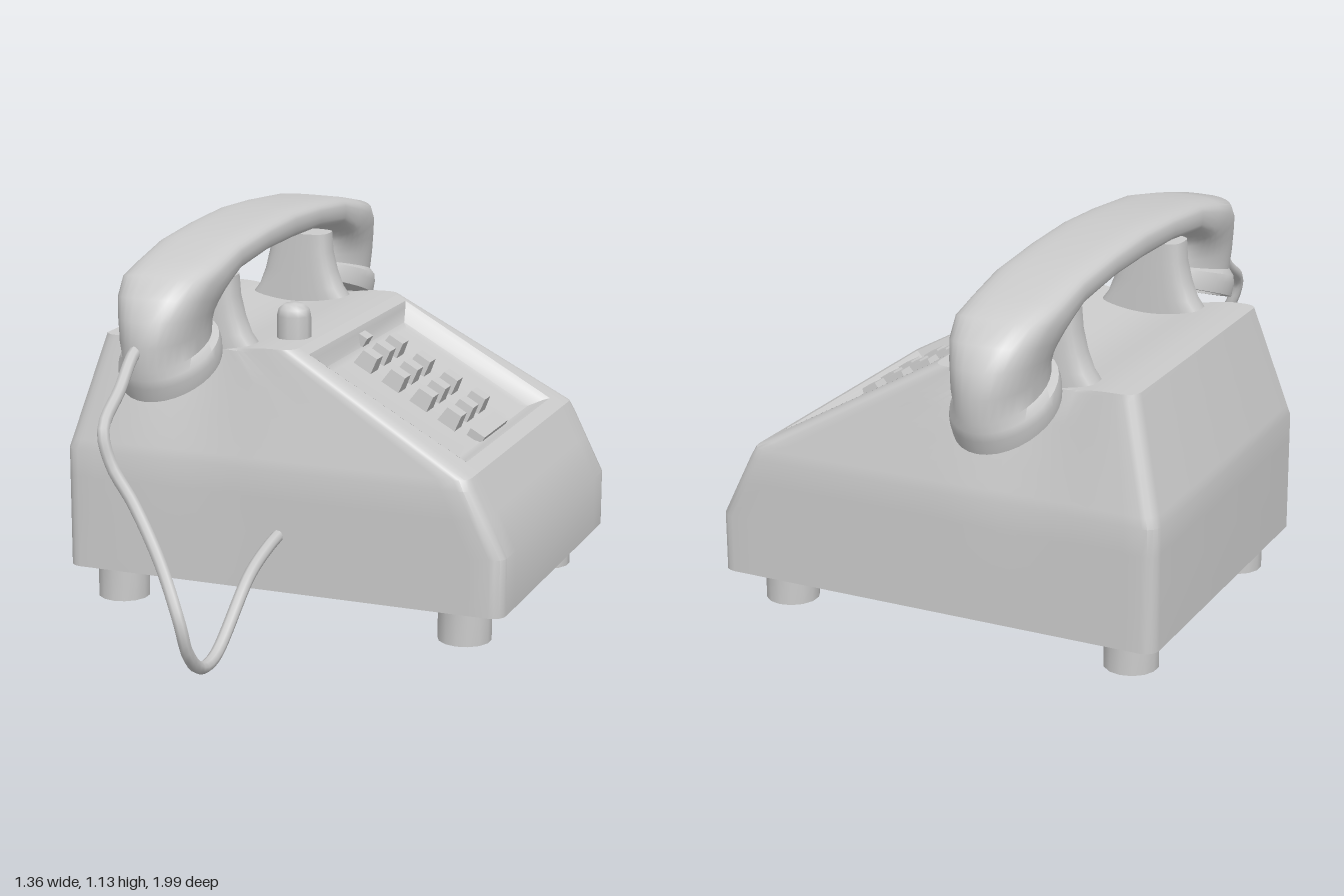
import * as THREE from 'three';
import { toCreasedNormals } from 'three/addons/utils/BufferGeometryUtils.js';

const MID_Z = -0.18;
const material = new THREE.MeshStandardMaterial({ color: 0xcccccc, side: THREE.DoubleSide });
const flat = new THREE.MeshStandardMaterial({ color: 0xcccccc, flatShading: true });

function part(name, geometry, parent, x = 0, y = 0, z = 0, mat = material) {
  const mesh = new THREE.Mesh(geometry, mat);
  mesh.name = name;
  mesh.position.set(x, y, z);
  parent.add(mesh);
  return mesh;
}

// Skin a list of closed rings (counter-clockwise seen against the sweep)
function loft(rings, crease = 0.5, skip = () => false) {
  const n = rings[0].length, index = [];
  for (let i = 0; i < rings.length - 1; i++) {
    for (let j = 0; j < n; j++) {
      if (skip(i, j)) continue;
      const a = i * n + j, b = i * n + (j + 1) % n;
      index.push(a, b, b + n, a, b + n, a + n);
    }
  }
  const g = new THREE.BufferGeometry();
  g.setAttribute('position', new THREE.Float32BufferAttribute(rings.flat(2), 3));
  g.setIndex(index);
  return toCreasedNormals(g, crease);
}

// Superellipse coordinates: n = 2 is an oval, larger is boxier
function oval(count, n) {
  const p = v => Math.sign(v) * Math.abs(v) ** (2 / n);
  return Array.from({ length: count }, (_, k) => {
    const t = k / count * Math.PI * 2;
    return [p(Math.sin(t)), p(Math.cos(t))];
  });
}

// Shallow hollow across the housing where the handset rests
function hollow(x) {
  const t = (x + 0.285) / 0.24;
  return Math.abs(t) < 1 ? 0.5 + 0.5 * Math.cos(Math.PI * t) : 0;
}

const EDGE = 24, ARC = 4, RECESS = 0.4;

// Rounded rectangle around the housing at one height
function bodyRing(y, zScale = 1) {
  const up = Math.max(0, y - 0.47) / 0.34;
  const xl = -0.68 + 0.095 * up, h = 0.52 - 0.075 * up, r = 0.04;
  const xr = y <= 0.28 ? 0.68 : y <= 0.5 ? 0.68 - (y - 0.28) * 0.5 : 0.57 - (y - 0.5) / 0.5636;
  const pts = [];
  const edge = (sign) => {
    for (let i = 0; i < EDGE; i++) {
      const t = i / (EDGE - 1), a = xl + r, b = xr - r;
      pts.push([sign > 0 ? a + (b - a) * t : b + (a - b) * t, sign * h]);
    }
  };
  const corner = (cx, cz, start) => {
    for (let i = 1; i <= ARC; i++) {
      const t = start + i / ARC * Math.PI / 2;
      pts.push([cx + r * Math.sin(t), cz + r * Math.cos(t)]);
    }
  };
  edge(1);
  corner(xr - r, h - r, 0);
  pts.push([xr, RECESS], [xr, -RECESS]);
  pts.push([xr, r - h]);
  corner(xr - r, r - h, Math.PI / 2);
  pts.pop();
  edge(-1);
  corner(xl + r, r - h, Math.PI);
  corner(xl + r, h - r, Math.PI * 1.5);
  pts.pop();
  const fade = Math.max(0, (y - 0.2) / 0.61) ** 2;
  return pts.map(([x, z]) => [
    x,
    y - (y > 0.8 ? 0.025 * hollow(x) : 0),
    MID_Z + zScale * (z - Math.sign(z) * 0.03 * fade * hollow(x)),
  ]);
}

function makeBody(group) {
  const levels = [0.11, 0.28, 0.39, 0.47, 0.5, 0.523, 0.61, 0.7, 0.793, 0.81];
  const rings = levels.map(y => bodyRing(y));
  rings.push(bodyRing(0.81, 0.9), bodyRing(0.81, 0.5), bodyRing(0.81, 0));
  const gap = EDGE + ARC;
  part('housing', loft(rings, 0.5, (i, j) => j === gap && i >= 5 && i < 8), group);
}

// Sunken sloping panel with its keys
function makeKeypad(group) {
  const pad = new THREE.Group();
  pad.name = 'keypad';
  pad.position.set(0.29, 0.658, MID_Z);
  pad.rotation.z = -Math.atan(0.5636);
  group.add(pad);
  const rect = (a, b, y) => [[-a, y, b], [a, y, b], [a, y, -b], [-a, y, -b]];
  part('keypadRecess', loft([
    rect(0.2755, RECESS, 0), rect(0.262, 0.385, -0.012),
    rect(0.235, 0.355, -0.045), rect(0.215, 0.335, -0.05), rect(0, 0, -0.05),
  ], 0.7), pad);
  const key = new THREE.CylinderGeometry(0.035, 0.044, 0.05, 4).rotateY(Math.PI / 4);
  for (let row = 0; row < 4; row++) {
    for (let col = -1; col <= 1; col++) {
      part('key', key, pad, -0.175 + row * 0.101, -0.027, col * 0.11, flat);
    }
  }
  part('lowerLedge', new THREE.BoxGeometry(0.05, 0.03, 0.22), pad, 0.215, -0.04, 0, flat);
  part('upperTab', new THREE.BoxGeometry(0.03, 0.03, 0.05), pad, -0.245, -0.025, 0, flat);
}

// Flared posts that carry the handset
function makeCradle(group) {
  const stations = [[0.75, 0.18], [0.79, 0.165], [0.83, 0.135], [0.88, 0.115], [0.94, 0.1], [1.0, 0.095], [1.0, 0]];
  const rings = stations.map(([y, w]) =>
    oval(24, 3.5).map(([s, c]) => [w * s, y, (w ? 0.055 : 0) * c]));
  const geo = loft(rings, 0.8);
  for (const z of [0.185, -0.54]) part('cradlePost', geo, group, -0.285, 0, z);
}

// Arched handle ending in two tilted oval cups
function makeHandset(group) {
  // top distance, top height, bottom distance, bottom height, half width, boxiness
  const half = [
    [0, 1.135, 0, 1.04, 0.135, 3.5],
    [0.2, 1.126, 0.2, 1.037, 0.135, 3.5],
    [0.41, 1.11, 0.4, 1.015, 0.135, 3.4],
    [0.58, 1.078, 0.45, 0.985, 0.135, 3.2],
    [0.7, 1.052, 0.465, 0.968, 0.135, 3],
    [0.765, 1.0, 0.468, 0.95, 0.128, 2.7],
    [0.8, 0.94, 0.465, 0.93, 0.118, 2.4],
    [0.815, 0.87, 0.458, 0.91, 0.112, 2.2],
    [0.805, 0.8, 0.452, 0.892, 0.112, 2],
    [0.803, 0.775, 0.437, 0.892, 0.132, 2],
    [0.795, 0.75, 0.43, 0.872, 0.138, 2],
    [0.778, 0.711, 0.424, 0.84, 0.135, 2],
    [0.752, 0.72, 0.45, 0.83, 0.115, 2],
    [0.755, 0.733, 0.457, 0.842, 0.112, 2],
    [0.606, 0.79, 0.606, 0.79, 0, 2],
  ];
  const mirrored = half.slice(1).reverse().map(([a, b, c, d, w, n]) => [-a, b, -c, d, w, n]);
  const rings = [...mirrored, ...half].map(([tz, ty, bz, by, w, n]) =>
    oval(32, n).map(([s, c]) => [
      -w * s,
      (ty + by) / 2 + c * (ty - by) / 2,
      (tz + bz) / 2 + c * (tz - bz) / 2,
    ]));
  part('handset', loft(rings, 0.75), group, -0.285, 0, -0.175);
}

function makeCord(group) {
  const path = [
    [-0.3, 0.87, 0.6], [-0.3, 0.85, 0.65], [-0.3, 0.775, 0.73], [-0.29, 0.69, 0.855],
    [-0.26, 0.6, 0.87], [-0.19, 0.5, 0.88], [-0.09, 0.36, 0.93], [-0.01, 0.22, 0.985],
    [0, 0.13, 0.96], [0, 0.06, 0.88], [0, 0.06, 0.785], [0, 0.22, 0.545], [0, 0.265, 0.41], [0, 0.283, 0.31],
  ].map(p => new THREE.Vector3(...p));
  const curve = new THREE.CatmullRomCurve3(path, false, 'centripetal');
  part('cord', new THREE.TubeGeometry(curve, 60, 0.018, 8), group);
}

export function createModel() {
  const group = new THREE.Group();
  group.name = 'deskTelephone';
  makeBody(group);
  makeKeypad(group);
  makeCradle(group);
  makeHandset(group);
  makeCord(group);

  // Round-topped button beside the handset
  const profile = [[0.05, 0], [0.05, 0.08], [0.045, 0.1], [0.03, 0.113], [0, 0.117]]
    .map(p => new THREE.Vector2(...p));
  part('button', new THREE.LatheGeometry(profile, 10), group, -0.05, 0.795, 0.09);

  // Feet
  const foot = toCreasedNormals(new THREE.CylinderGeometry(0.078, 0.078, 0.12, 14), 0.6);
  for (const x of [-0.552, 0.532]) {
    for (const z of [0.222, -0.555]) part('foot', foot, group, x, 0.06, z);
  }
  return group;
}
